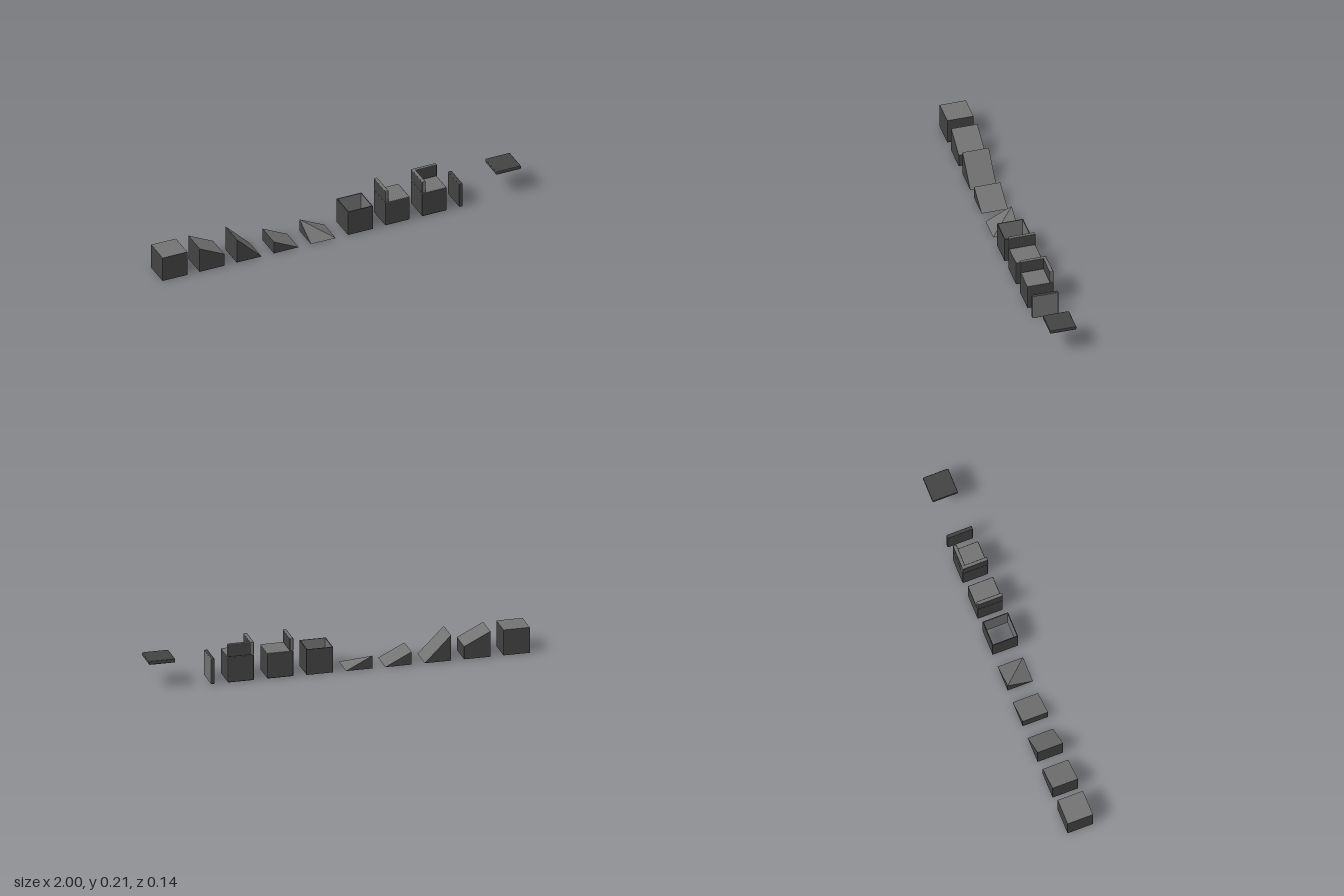
import * as THREE from 'three';
import { RoundedBoxGeometry } from 'three/addons/geometries/RoundedBoxGeometry.js';

const S = 0.138;      // side of one block
const H = S / 2;      // half a block
const PITCH = 0.2069; // spacing of the row
const T = 0.02;       // wall and panel thickness
const SHELL = 0.004;  // wall thickness of the hollow block
const BEVEL = 0.005;

const dark = new THREE.MeshStandardMaterial({ color: 0x434343, flatShading: true, side: THREE.DoubleSide });
const light = new THREE.MeshStandardMaterial({ color: 0x737373, flatShading: true, side: THREE.DoubleSide });

// Box faces in order: +x, -x, +y, -y, +z, -z
const PX = 0, NX = 1, PY = 2, NY = 3, PZ = 4, NZ = 5;
const faces = (...lit) => [PX, NX, PY, NY, PZ, NZ].map((f) => (lit.includes(f) ? light : dark));

function part(name, geometry, material, x = 0, y = 0, z = 0) {
  const mesh = new THREE.Mesh(geometry, material);
  mesh.name = name;
  mesh.position.set(x, y, z);
  return mesh;
}

// Bevelled slab standing on height y, with the listed faces light
function slab(name, w, h, d, x, y, z, ...lit) {
  return part(name, new RoundedBoxGeometry(w, h, d, 2, BEVEL), faces(...lit), x, y + h / 2, z);
}

// Block with a light top, whose top corners sit at height(x, z)
function slopedBlock(name, height) {
  // The quarter turn lays the top's diagonal from the back left to the front right
  const geometry = new THREE.BoxGeometry(S, S, S).toNonIndexed().rotateY(Math.PI / 2).translate(0, H, 0);
  const p = geometry.attributes.position;
  for (let i = 0; i < p.count; i++) {
    if (p.getY(i) > H) p.setY(i, height(p.getX(i), p.getZ(i)));
  }
  geometry.computeVertexNormals();
  return part(name, geometry, faces(PY));
}

// Four thin walls, open above and below, light on the inside
function openBox() {
  return [0, 1, 2, 3].map((k) => {
    const geometry = new THREE.BoxGeometry(S, S, SHELL);
    geometry.translate(0, H, H - SHELL / 2).rotateY((k * Math.PI) / 2);
    return part('thinWall', geometry, faces(NZ));
  });
}

// Dark walls with a light rim
const base = () => slab('base', S, S, S, 0, 0, 0, PY);
const sideWall = () => slab('sideWall', T, H, S, -H + T / 2, S, 0, PY, PZ, NZ);
const backWall = () => slab('backWall', S - T + BEVEL, H, T, (T - BEVEL) / 2, S, -H + T / 2, PY, PX);

export function createModel() {
  const model = new THREE.Group();
  model.name = 'buildingBlockSet';

  // One entry per place in the row, from -x to +x
  const row = [
    ['cubeBlock', [slopedBlock('cube', () => S)]],
    ['upperRamp', [slopedBlock('upperRampWedge', (x) => (x < 0 ? S : H))]],
    ['steepRamp', [slopedBlock('steepRampWedge', (x) => (x < 0 ? S : 0))]],
    ['lowerRamp', [slopedBlock('lowerRampWedge', (x) => (x < 0 ? H : 0))]],
    ['cornerRamp', [slopedBlock('cornerSlope', (x, z) => (x < 0 && z < 0 ? H : 0))]],
    ['hollowBlock', openBox()],
    ['edgeBlock', [base(), sideWall()]],
    ['cornerBlock', [base(), sideWall(), backWall()]],
    ['uprightPanel', [slab('uprightSlab', T, S, S, -H + T / 2, 0, 0, PX)]],
    ['flatPanel', [slab('flatSlab', S, T, S, 0, S, 0, NY)]],
  ];

  row.forEach(([name, parts], i) => {
    const block = new THREE.Group();
    block.name = name;
    block.add(...parts);
    block.position.x = (i - (row.length - 1) / 2) * PITCH;
    model.add(block);
  });
  return model;
}
